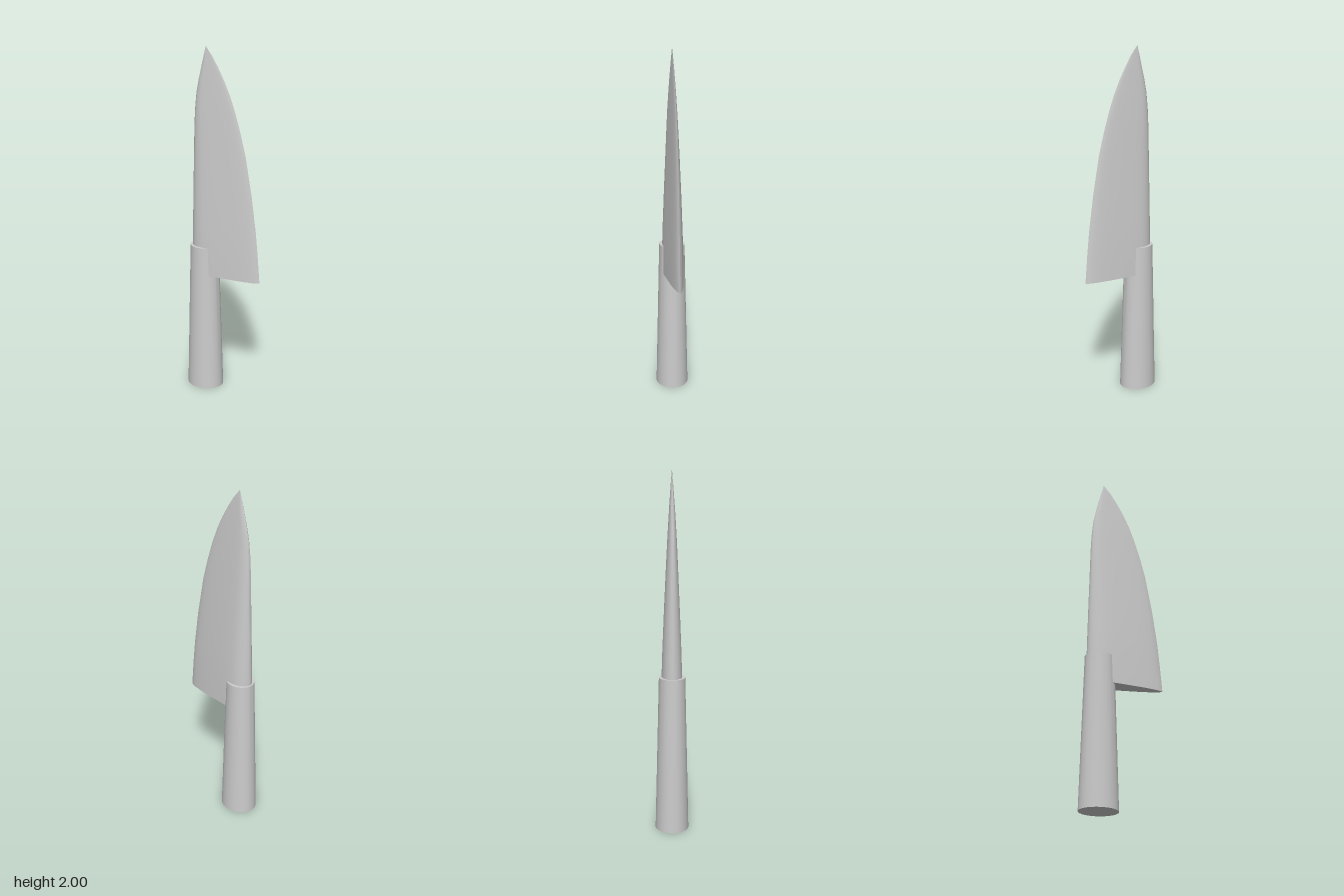
import * as THREE from 'three';
import { toCreasedNormals } from 'three/addons/utils/BufferGeometryUtils.js';

const material = new THREE.MeshStandardMaterial({ color: 0xcccccc });

// Tapered oval handle with flat ends
function makeHandle() {
  const bottom = { x: -0.128, rx: 0.108, rz: 0.093 };
  const top = { x: -0.13, rx: 0.083, rz: 0.073 };
  const height = 0.87;
  const geo = new THREE.CylinderGeometry(1, 1, height, 48);
  geo.translate(0, height / 2, 0);
  const p = geo.attributes.position;
  for (let i = 0; i < p.count; i++) {
    const s = p.getY(i) > height / 2 ? top : bottom;
    p.setX(i, s.x + p.getX(i) * s.rx);
    p.setZ(i, p.getZ(i) * s.rz);
  }
  return new THREE.Mesh(toCreasedNormals(geo.toNonIndexed(), 0.7), material);
}

// Blade lofted from teardrop sections: [height, spine x, edge x, half thickness]
const LEVELS = [
  [0.705, -0.205, 0.233, 0.058], [0.87, -0.204, 0.219, 0.057], [1.0, -0.202, 0.206, 0.053],
  [1.2, -0.198, 0.178, 0.045], [1.42, -0.193, 0.138, 0.035], [1.55, -0.19, 0.104, 0.029],
  [1.65, -0.185, 0.073, 0.024], [1.74, -0.176, 0.04, 0.0185], [1.82, -0.16, 0.003, 0.0135],
  [1.89, -0.143, -0.036, 0.0085], [1.95, -0.128, -0.074, 0.004], [2.0, -0.115, -0.115, 0],
];
// Teardrop half outline: [fraction from spine to edge, fraction of half thickness]
const PROFILE = [
  [0, 0], [0.008, 0.25], [0.03, 0.5], [0.065, 0.72], [0.11, 0.88], [0.16, 0.97], [0.22, 1],
  [0.35, 0.93], [0.52, 0.79], [0.7, 0.62], [0.82, 0.47], [0.91, 0.32], [0.965, 0.18], [1, 0],
];

function makeBlade() {
  const back = PROFILE.slice(1, -1).reverse().map(([u, t]) => [u, -t]);
  const ring = [...PROFILE, ...back];
  const n = ring.length;
  const pos = [];
  const index = [];
  for (const [y, spine, edge, half] of LEVELS)
    for (const [u, t] of ring) pos.push(spine + (edge - spine) * u, y, half * t);
  const last = LEVELS.length - 2;
  for (let j = 0; j <= last; j++)
    for (let i = 0; i < n; i++) {
      const a = j * n + i, b = j * n + (i + 1) % n;
      index.push(a, b, a + n);
      if (j < last) index.push(b, b + n, a + n);
    }
  // flat heel
  for (let i = 1; i < n - 1; i++) index.push(0, i + 1, i);
  const geo = new THREE.BufferGeometry();
  geo.setAttribute('position', new THREE.Float32BufferAttribute(pos, 3));
  geo.setIndex(index);
  return new THREE.Mesh(toCreasedNormals(geo.toNonIndexed(), 0.7), material);
}

export function createModel() {
  const group = new THREE.Group();
  group.name = 'kitchenKnife';
  const handle = makeHandle();
  handle.name = 'handle';
  const blade = makeBlade();
  blade.name = 'blade';
  group.add(handle, blade);
  return group;
}
